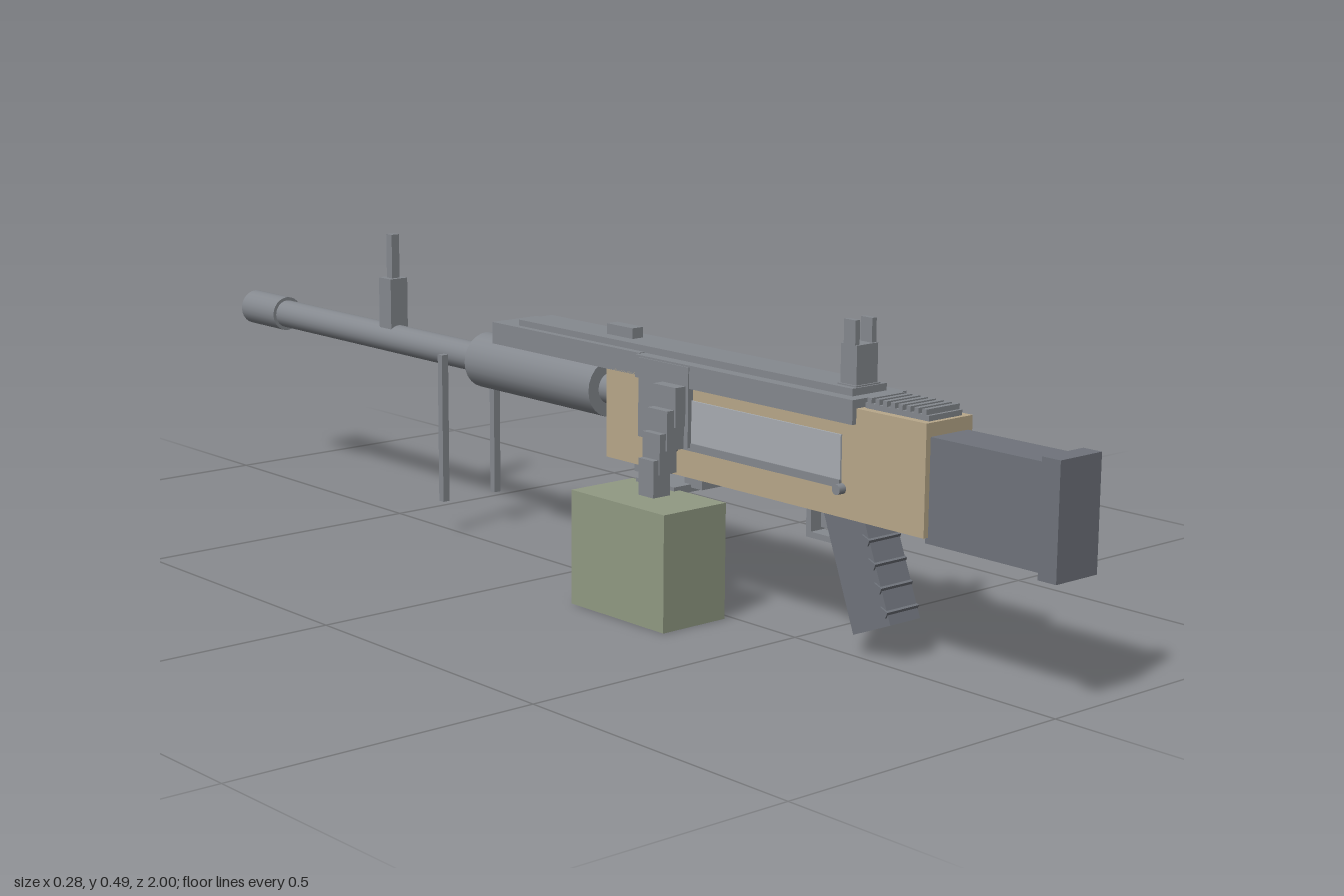
import * as THREE from 'three';

const CX = 0.033; // centre line of the main body
const BY = 0.305; // height of the barrel axis

const mat = (color) => new THREE.MeshStandardMaterial({ color });

export function createModel() {
  const root = new THREE.Group();
  const metal = mat(0x85898f), dark = mat(0x6f737b), tan = mat(0xb8a88a);
  const green = mat(0x919a83), pale = mat(0xa9adb3);

  const add = (name, geo, material) => {
    const mesh = new THREE.Mesh(geo, material);
    mesh.name = name;
    root.add(mesh);
    return mesh;
  };
  // Box given by its limits on each axis
  const box = (name, x0, x1, y0, y1, z0, z1, material = metal) => {
    const mesh = add(name, new THREE.BoxGeometry(x1 - x0, y1 - y0, z1 - z0), material);
    mesh.position.set((x0 + x1) / 2, (y0 + y1) / 2, (z0 + z1) / 2);
    return mesh;
  };
  // Box centred on the body, given by its half width
  const mid = (name, hw, y0, y1, z0, z1, material) =>
    box(name, CX - hw, CX + hw, y0, y1, z0, z1, material);
  // Pair of boxes mirrored about the body, d0 and d1 measured outwards
  const pair = (name, d0, d1, y0, y1, z0, z1, material) => {
    box(name + 'Left', CX + d0, CX + d1, y0, y1, z0, z1, material);
    box(name + 'Right', CX - d1, CX - d0, y0, y1, z0, z1, material);
  };
  // Round bar along z on the barrel axis
  const rod = (name, r, z0, z1) => {
    const mesh = add(name, new THREE.CylinderGeometry(r, r, z1 - z0, 24).rotateX(Math.PI / 2), metal);
    mesh.position.set(CX - 0.002, BY, (z0 + z1) / 2);
  };
  // Round bar along x
  const pin = (name, r, x0, x1, y, z, material = metal) => {
    const mesh = add(name, new THREE.CylinderGeometry(r, r, x1 - x0, 12).rotateZ(Math.PI / 2), material);
    mesh.position.set((x0 + x1) / 2, y, z);
  };

  // Stock and receiver
  mid('stock', 0.038, 0.197, 0.35, 0.76, 0.975, dark);
  mid('buttPlate', 0.042, 0.188, 0.358, 0.968, 1.0, dark);
  mid('receiver', 0.047, 0.206, 0.352, 0.082, 0.765, tan);
  mid('receiverRearTop', 0.047, 0.35, 0.37, 0.62, 0.765, tan);

  // Ribbed pad behind the rear sight
  mid('ribPad', 0.034, 0.368, 0.378, 0.635, 0.757);
  for (let i = 0; i < 8; i++) {
    const z = 0.639 + i * 0.015;
    mid('padRib', 0.034, 0.376, 0.386, z, z + 0.008);
  }

  // Top cover: wide rear half, narrower open channel over the sleeve
  mid('coverRear', 0.055, 0.347, 0.383, 0.16, 0.63);
  mid('coverTop', 0.047, 0.372, 0.384, -0.21, 0.16);
  pair('coverRail', 0.038, 0.047, 0.348, 0.374, -0.21, 0.16);
  mid('coverFrontWall', 0.04, 0.348, 0.374, -0.21, -0.2);
  mid('coverRaisedStrip', 0.035, 0.382, 0.394, -0.155, 0.61);
  mid('coverLatch', 0.011, 0.39, 0.411, 0.04, 0.103);

  // Side panels with their retaining pins
  pair('sidePanel', 0.045, 0.05, 0.26, 0.328, 0.238, 0.603, pale);
  pair('panelHinge', 0.045, 0.052, 0.25, 0.262, 0.238, 0.603);
  for (const z of [0.605, 0.245]) pin('panelPin', 0.008, CX - 0.06, CX + 0.06, 0.249, z);

  // Feed opening on the right side
  box('feedPort', CX - 0.057, CX - 0.045, 0.255, 0.38, 0.17, 0.285);

  // Charging handle on the left side
  box('handleSlide', 0.078, 0.092, 0.308, 0.342, 0.45, 0.57);
  pin('handleStem', 0.009, 0.085, 0.12, 0.337, 0.535);
  box('handleKnob', 0.115, 0.138, 0.323, 0.35, 0.508, 0.558);

  // Barrel group
  rod('barrelRoot', 0.026, 0.03, 0.09);
  rod('barrelSleeve', 0.047, -0.285, 0.04);
  rod('barrel', 0.025, -0.9, -0.28);
  rod('muzzle', 0.031, -1.0, -0.892);

  // Sights
  mid('frontSightBase', 0.018, 0.32, 0.413, -0.573, -0.538);
  mid('frontSightPost', 0.008, 0.41, 0.49, -0.563, -0.547);
  mid('rearSightFoot', 0.025, 0.38, 0.396, 0.57, 0.607);
  mid('rearSightBody', 0.0215, 0.385, 0.454, 0.572, 0.604);
  pair('rearSightProng', 0.0125, 0.0215, 0.45, 0.49, 0.577, 0.6);

  // Bipod legs
  pair('bipodLeg', 0.049, 0.062, 0.057, 0.312, -0.343, -0.331);

  // Slanted grip extruded across the body, with rib stubs on its back edge
  const gripShape = new THREE.Shape([
    [0.63, 0.215], [0.547, 0.215], [0.617, 0.03], [0.69, 0.06],
  ].map(([z, y]) => new THREE.Vector2(-z, y)));
  const grip = add('grip', new THREE.ExtrudeGeometry(gripShape, { depth: 0.062, bevelEnabled: false }), dark);
  grip.rotation.y = Math.PI / 2;
  grip.position.x = CX - 0.03;
  for (let i = 0; i < 4; i++) {
    const y = 0.077 + i * 0.033;
    const rib = mid('gripRib', 0.033, y - 0.005, y + 0.005, 0, 0.016, dark);
    rib.position.z = 0.677 - i * 0.0128;
    rib.rotation.x = 0.38;
  }

  // Trigger and guard
  mid('guardBottom', 0.014, 0.152, 0.161, 0.5, 0.59);
  mid('guardFront', 0.014, 0.155, 0.198, 0.5, 0.51);
  mid('trigger', 0.007, 0.17, 0.21, 0.524, 0.537);

  // Ammunition box and its hanger
  box('ammoBox', -0.138, -0.013, 0, 0.182, 0.145, 0.36, green);
  box('hangerPlate', -0.024, 0.035, 0.176, 0.188, 0.165, 0.255);
  mid('hangerFront', 0.022, 0.186, 0.208, 0.122, 0.178);
  mid('hangerRear', 0.022, 0.183, 0.208, 0.24, 0.28);

  // Feed belt stepping up from the box to the feed opening
  [[-0.08, 0.175, 0.24], [-0.07, 0.217, 0.28], [-0.058, 0.253, 0.315], [-0.044, 0.288, 0.35]]
    .forEach(([x, y0, y1], i) => {
      const h = 0.017 + i * 0.003;
      box('beltLink', x, x + 0.034, y0, y1, 0.253 - h, 0.253 + h);
    });

  return root;
}
